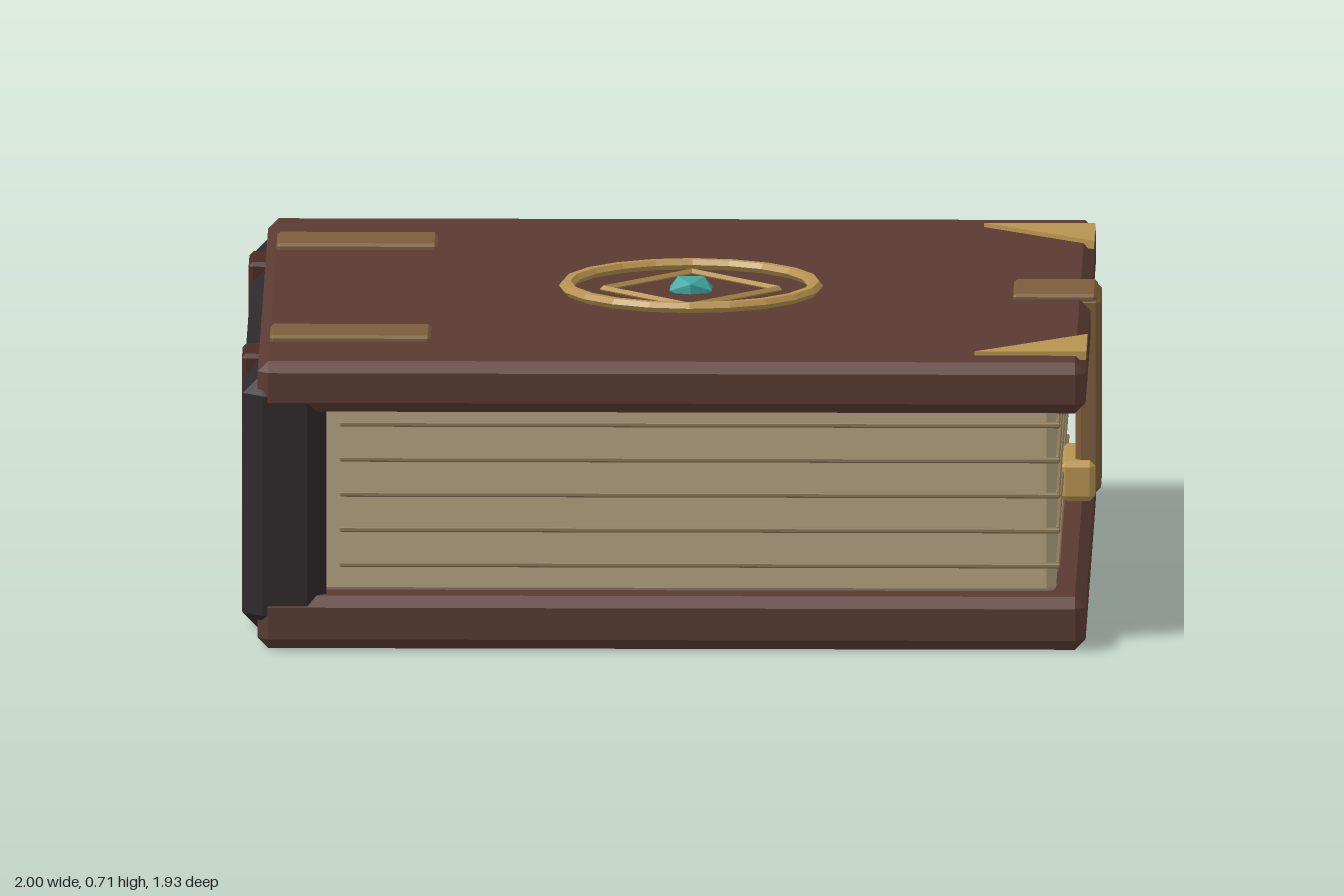
import * as THREE from 'three';
import { ConvexGeometry } from 'three/addons/geometries/ConvexGeometry.js';

const mat = (name, color, flatShading = true) => {
  const m = new THREE.MeshStandardMaterial({ color, flatShading });
  m.name = name;
  return m;
};

// Box given by its limits, with every edge cut at 45 degrees
function chamferBox([x0, x1], [y0, y1], [z0, z1], c) {
  const h = [(x1 - x0) / 2, (y1 - y0) / 2, (z1 - z0) / 2];
  const pts = [];
  for (const sx of [-1, 1]) for (const sy of [-1, 1]) for (const sz of [-1, 1]) {
    for (let full = 0; full < 3; full++) {
      const d = h.map((v, i) => (i === full ? v : v - c));
      pts.push(new THREE.Vector3(sx * d[0], sy * d[1], sz * d[2]));
    }
  }
  const g = new ConvexGeometry(pts);
  g.translate((x0 + x1) / 2, (y0 + y1) / 2, (z0 + z1) / 2);
  return g;
}

export function createModel() {
  const group = new THREE.Group();
  group.name = 'book';
  const leather = mat('cover leather', 0x5a3a33);
  const bandLeather = mat('spine band leather', 0x4a2c24);
  const spineDark = mat('spine leather', 0x2f292b);
  const paper = mat('paper', 0xb3a280);
  const pageLine = mat('page line', 0x8a7858);
  const bronze = mat('bronze', 0x7c5d3a);
  const gold = mat('gold', 0xb7934f);
  const gemTeal = mat('gem teal', 0x3fa5a0);

  const add = (name, geometry, material) => {
    const mesh = new THREE.Mesh(geometry, material);
    mesh.name = name;
    group.add(mesh);
    return mesh;
  };
  const box = (name, x, y, z, c, m) => add(name, chamferBox(x, y, z, c), m);

  // Covers, spine and page block
  box('bottomCover', [-0.96, 0.97], [0, 0.125], [-0.97, 0.965], 0.025, leather);
  box('topCover', [-0.96, 0.97], [0.56, 0.68], [-0.97, 0.965], 0.025, leather);
  box('spine', [-0.995, -0.8], [0.035, 0.645], [-0.968, 0.963], 0.045, spineDark);
  box('pages', [-0.82, 0.9], [0.11, 0.57], [-0.87, 0.87], 0.022, paper);

  // Ridges between the gatherings of pages
  for (let i = 0; i < 5; i++) {
    const y = 0.187 + i * 0.083;
    box('frontPageLine', [-0.77, 0.91], [y - 0.006, y + 0.006], [0.86, 0.879], 0.003, pageLine);
    box('sidePageLine', [0.89, 0.909], [y - 0.006, y + 0.006], [-0.84, 0.84], 0.003, pageLine);
  }

  // Spine bands, hinge straps and corner plates on both sides
  for (const s of [-1, 1]) {
    const z = [s * 0.608 - 0.082, s * 0.608 + 0.082];
    box('spineBand', [-1, -0.95], [0.03, 0.65], z, 0.01, bandLeather);
    box('hingeStrap', [-0.935, -0.56], [0.67, 0.695], z, 0.007, bronze);

    const corner = new THREE.Shape([
      new THREE.Vector2(0.97, -s * 0.85),
      new THREE.Vector2(0.71, -s * 0.85),
      new THREE.Vector2(0.97, -s * 0.615),
    ]);
    const g = new THREE.ExtrudeGeometry(corner, { depth: 0.02, bevelEnabled: false });
    g.rotateX(-Math.PI / 2);
    g.translate(0, 0.67, 0);
    add('cornerPlate', g, gold);
  }

  // Clasp
  box('claspPlate', [0.79, 0.985], [0.67, 0.692], [-0.105, 0.105], 0.007, bronze);
  box('claspStrap', [0.935, 0.995], [0.22, 0.685], [-0.105, 0.105], 0.013, bronze);
  box('claspCatch', [0.9, 0.982], [0.205, 0.3], [-0.13, 0.13], 0.013, gold);

  // Medallion ring, diamond and gem
  const ring = add('medallionRing', new THREE.TorusGeometry(0.29, 0.018, 6, 20), gold);
  ring.rotation.x = -Math.PI / 2;
  ring.scale.z = 0.75;
  ring.position.set(0.038, 0.692, 0);

  const diamond = add('medallionDiamond', new THREE.TorusGeometry(0.225, 0.009, 4, 4), gold);
  diamond.rotation.x = -Math.PI / 2;
  diamond.scale.set(0.91, 1, 1);
  diamond.position.set(0.038, 0.683, 0);

  const gem = add('gem', new THREE.IcosahedronGeometry(0.058, 0), gemTeal);
  gem.scale.y = 0.6;
  gem.position.set(0.038, 0.685, 0);

  return group;
}
